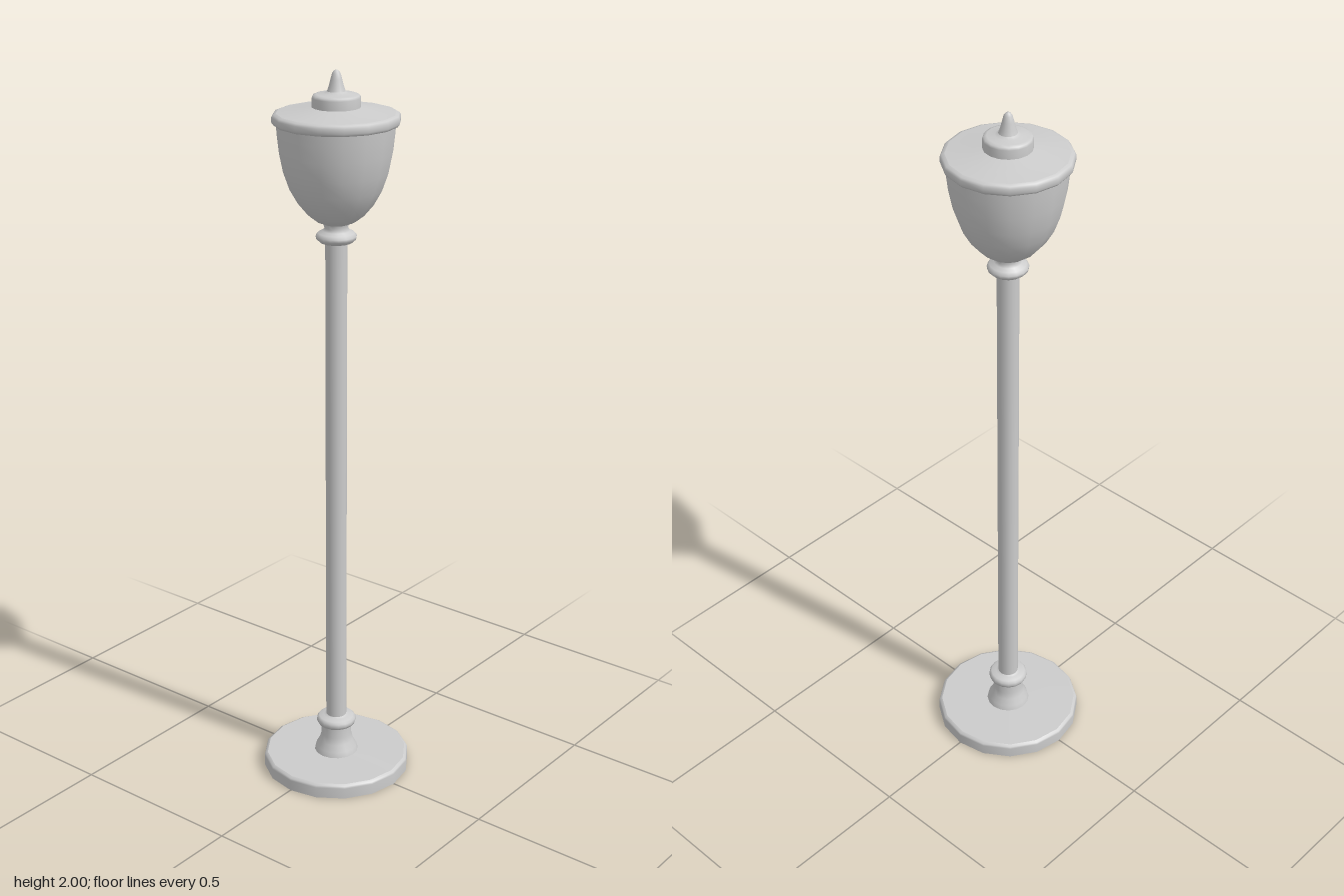
import * as THREE from 'three';

const SIDES = 16;

export function createModel() {
  const lamp = new THREE.Group();
  lamp.name = 'streetLamp';
  const material = new THREE.MeshStandardMaterial({ color: 0xcccccc, side: THREE.DoubleSide });

  // Each part is turned from a [radius, height] profile, bottom to top
  const turn = (name, profile) => {
    const points = profile.map(([r, y]) => new THREE.Vector2(r, y));
    const mesh = new THREE.Mesh(new THREE.LatheGeometry(points, SIDES), material);
    mesh.name = name;
    lamp.add(mesh);
  };

  // Hollow base plate, open underneath, with a hole under the foot
  turn('baseRim', [[0.208, 0], [0.208, 0.031], [0.206, 0.037], [0.199, 0.041]]);
  turn('baseTop', [[0.199, 0.041], [0.062, 0.042]]);

  // Flared foot and its collar
  turn('foot', [[0.062, 0.042], [0.058, 0.057], [0.048, 0.075], [0.043, 0.095], [0.042, 0.124]]);
  turn('footCollar', [[0.042, 0.124], [0.052, 0.129], [0.056, 0.137], [0.055, 0.146],
    [0.049, 0.152], [0.036, 0.154], [0.029, 0.158]]);

  turn('pole', [[0.029, 0.156], [0.029, 1.555]]);

  // Ring and neck under the bowl
  turn('neckRing', [[0.029, 1.55], [0.043, 1.554], [0.053, 1.563], [0.054, 1.571],
    [0.048, 1.579], [0.036, 1.584], [0.031, 1.592], [0.034, 1.603]]);

  // Egg-shaped lantern bowl
  turn('bowl', [[0.034, 1.603], [0.053, 1.611], [0.075, 1.628], [0.1, 1.658], [0.121, 1.695],
    [0.137, 1.74], [0.147, 1.79], [0.152, 1.835], [0.154, 1.862]]);

  // Lid: rolled rim, shallow dome, small drum and finial
  turn('lidRim', [[0.154, 1.862], [0.161, 1.863], [0.166, 1.87], [0.166, 1.883], [0.162, 1.889], [0.154, 1.892]]);
  turn('lidDome', [[0.154, 1.892], [0.11, 1.898], [0.063, 1.906]]);
  turn('lidDrum', [[0.063, 1.904], [0.063, 1.93], [0.06, 1.936], [0.052, 1.939], [0.032, 1.941], [0.024, 1.946]]);
  turn('finial', [[0.024, 1.946], [0.02, 1.957], [0.015, 1.976], [0.011, 1.991], [0.006, 1.998], [0, 2]]);

  return lamp;
}
